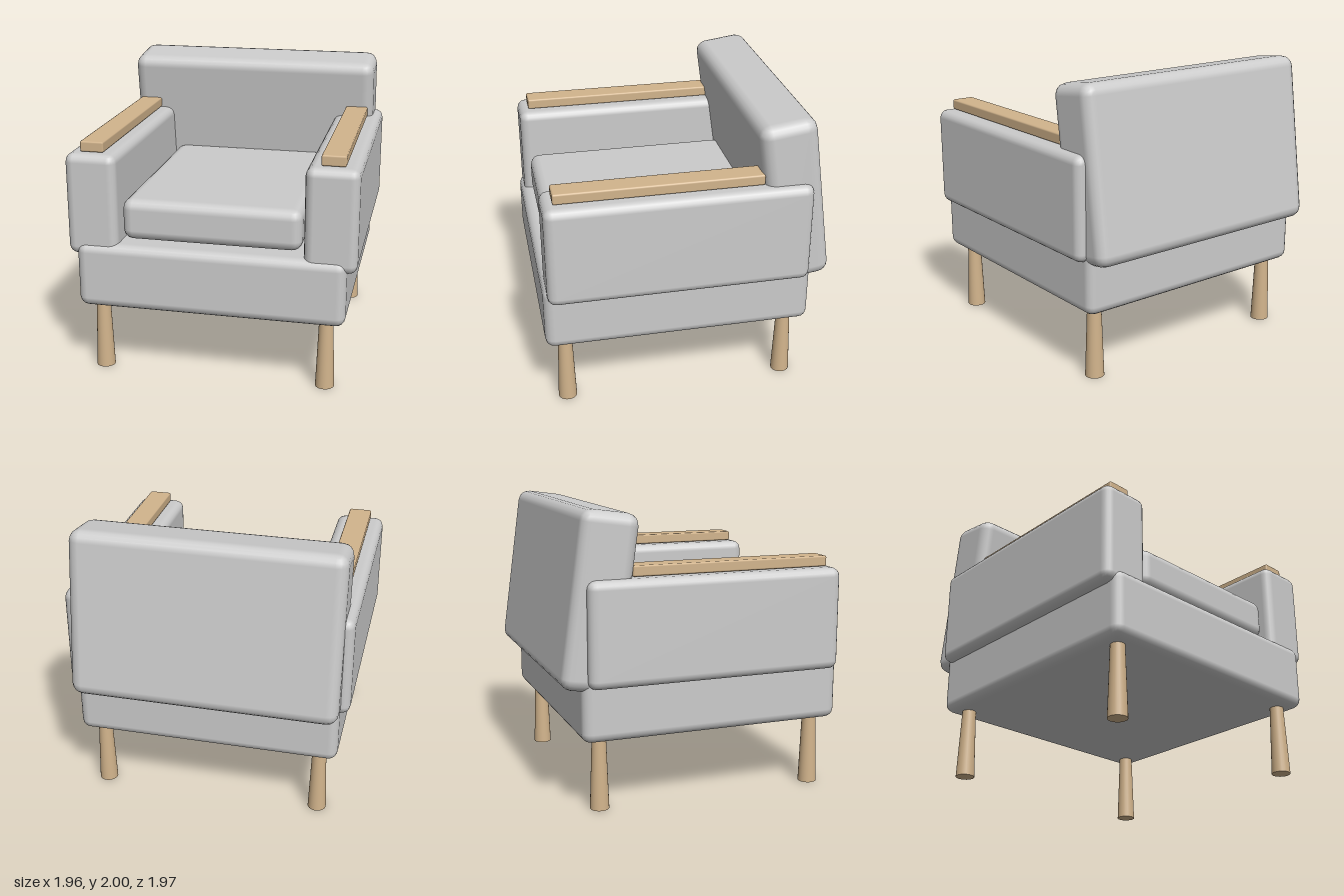
import * as THREE from 'three';
import { RoundedBoxGeometry } from 'three/addons/geometries/RoundedBoxGeometry.js';

const fabric = new THREE.MeshStandardMaterial({ color: 0xcccccc });
const wood = new THREE.MeshStandardMaterial({ color: 0xd2b48c });

// Rounded block given by its [min, max] range on each axis
function block(name, [x0, x1], [y0, y1], [z0, z1], radius, material, segments = 2) {
  const geometry = new RoundedBoxGeometry(x1 - x0, y1 - y0, z1 - z0, segments, radius);
  const mesh = new THREE.Mesh(geometry, material);
  mesh.name = name;
  mesh.position.set((x0 + x1) / 2, (y0 + y1) / 2, (z0 + z1) / 2);
  return mesh;
}

export function createModel() {
  const chair = new THREE.Group();
  chair.name = 'armchair';

  // Upholstered base and loose seat cushion
  chair.add(block('seatBase', [-0.915, 0.915], [0.487, 0.945], [-0.855, 0.985], 0.065, fabric));
  chair.add(block('seatCushion', [-0.61, 0.61], [0.965, 1.25], [-0.6, 0.91], 0.07, fabric));

  // Backrest, leaning backwards
  const back = block('backrest', [-0.92, 0.92], [0.821, 1.989], [-0.915, -0.525], 0.08, fabric);
  back.rotation.x = 0.139;
  chair.add(back);

  for (const side of [1, -1]) {
    const label = side > 0 ? 'left' : 'right';

    // Padded arm with a wooden rail on top
    const arm = block(label + 'Arm', [0.628, 0.98], [0.855, 1.56], [-0.825, 0.96], 0.06, fabric);
    const rail = block(label + 'ArmRail', [0.722, 0.885], [1.562, 1.635], [-0.505, 0.89], 0.012, wood, 1);
    arm.position.x *= side;
    rail.position.x *= side;
    chair.add(arm, rail);

    // Tapered legs, wider at the floor
    for (const [end, z] of [['Front', 0.845], ['Back', -0.715]]) {
      const leg = new THREE.Mesh(new THREE.CylinderGeometry(0.047, 0.065, 0.52, 24), wood);
      leg.name = label + end + 'Leg';
      leg.position.set(side * 0.78, 0.26, z);
      chair.add(leg);
    }
  }
  return chair;
}
